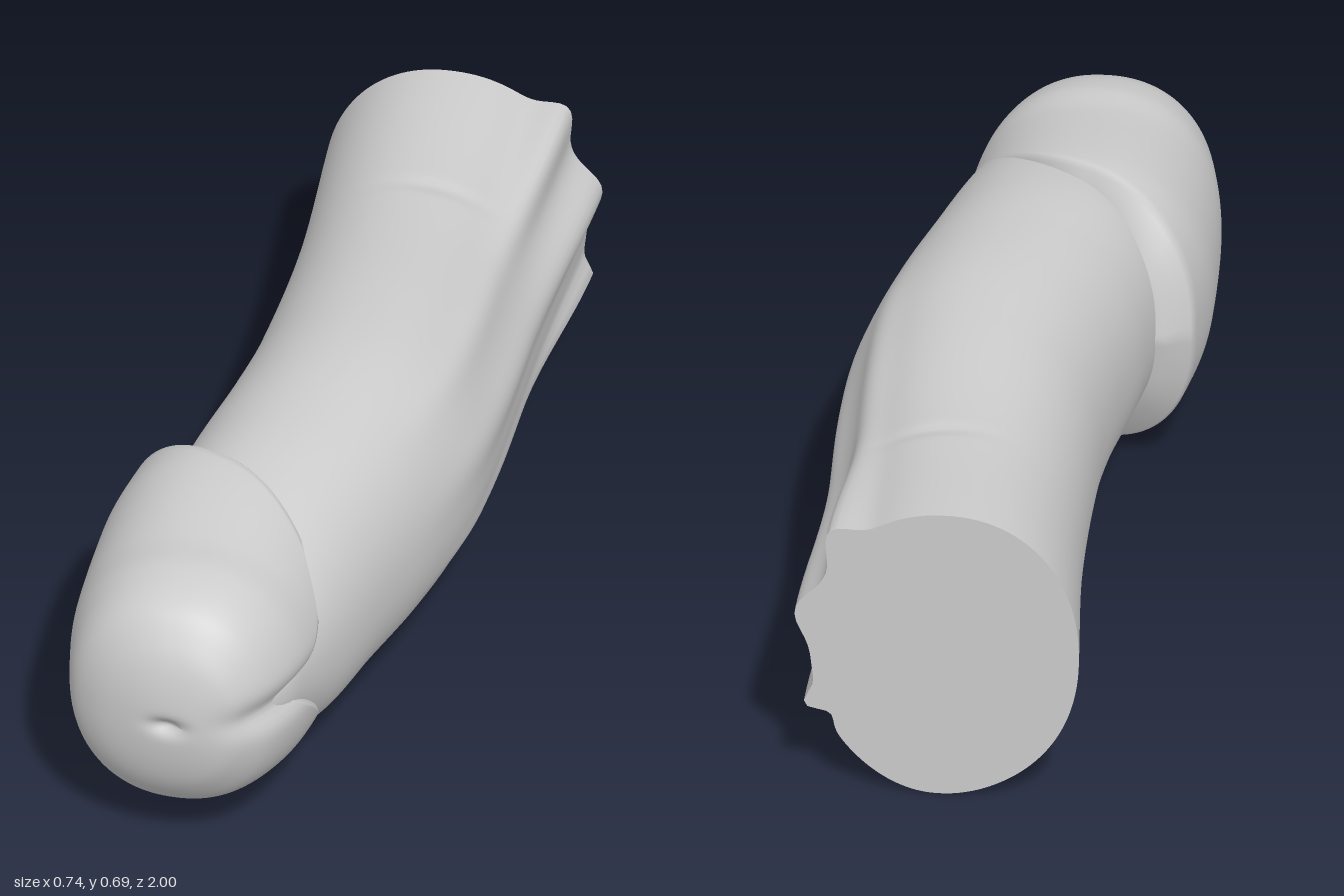
import * as THREE from 'three';

// Cross-section keys: [z, left x, right x, bottom y, top y], front to back
const SHAFT = [
  [0.93, -0.10, 0.03, 0.33, 0.44],
  [0.85, -0.18, 0.115, 0.27, 0.50],
  [0.75, -0.22, 0.152, 0.19, 0.56],
  [0.60, -0.25, 0.197, 0.10, 0.62],
  [0.40, -0.285, 0.245, 0.07, 0.665],
  [0.20, -0.26, 0.295, 0.057, 0.685],
  [0.00, -0.225, 0.33, 0.052, 0.695],
  [-0.20, -0.205, 0.335, 0.045, 0.69],
  [-0.60, -0.205, 0.325, 0.04, 0.67],
  [-1.00, -0.235, 0.33, 0.02, 0.69],
];
const HEAD = [
  [1.00, -0.07, -0.07, 0.37, 0.37],
  [0.98, -0.20, 0.03, 0.24, 0.50],
  [0.95, -0.27, 0.07, 0.18, 0.56],
  [0.90, -0.325, 0.11, 0.125, 0.615],
  [0.80, -0.355, 0.15, 0.085, 0.65],
  [0.70, -0.37, 0.167, 0.06, 0.655],
  [0.50, -0.375, 0.175, 0.025, 0.68],
  [0.43, -0.37, 0.165, 0.025, 0.683],
  [0.30, -0.35, 0.15, 0.04, 0.675],
];
// Depth of the head's rim by angle away from +x, in degrees
const RIM = [[0, 0.84], [12, 0.74], [27, 0.65], [50, 0.57], [90, 0.44], [135, 0.35], [180, 0.31]];
// Lengthwise ridges at the back of the shaft: [angle, width, height, strength mid-length]
const RIDGES = [
  [49, 8, 0.055, 0.25], [15, 11, 0.04, 0.45], [-26, 5, 0.035, 0.25],
  [-35, 5, -0.012, 0.6], [-85, 22, 0.015, 0.0],
];

const gauss = (d, w) => Math.exp(-((d / w) ** 2));
const smooth = THREE.MathUtils.smoothstep;

// Smooth interpolation of rows whose first entry is an ascending key
function sample(rows, k) {
  let i = 0;
  while (i < rows.length - 2 && k > rows[i + 1][0]) i++;
  const a = rows[i], b = rows[i + 1];
  const p = rows[Math.max(i - 1, 0)], n = rows[Math.min(i + 2, rows.length - 1)];
  const h = b[0] - a[0], t = THREE.MathUtils.clamp((k - a[0]) / h, 0, 1);
  return a.slice(1).map((v, c) => {
    const w = b[c + 1];
    const m0 = ((w - p[c + 1]) / (b[0] - p[0])) * h;
    const m1 = ((n[c + 1] - v) / (n[0] - a[0])) * h;
    return v * (2 * t ** 3 - 3 * t * t + 1) + m0 * (t ** 3 - 2 * t * t + t)
      + w * (3 * t * t - 2 * t ** 3) + m1 * (t ** 3 - t * t);
  });
}

// Point on a rounded section, with its centre
function section([xl, xr, yb, yt], angle, power) {
  const c = Math.cos(angle), s = Math.sin(angle), e = 2 / power;
  const cx = (xl + xr) / 2, cy = (yb + yt) / 2;
  return {
    cx, cy,
    x: cx + Math.sign(c) * Math.abs(c) ** e * (xr - xl) / 2,
    y: cy + Math.sign(s) * Math.abs(s) ** e * (yt - yb) / 2,
  };
}

// Closed loft; rings run from front to back
function loft(name, rings, sides, point) {
  const pos = [], index = [];
  for (let i = 0; i <= rings; i++) {
    for (let j = 0; j < sides; j++) {
      pos.push(...point(i, (j / sides) * Math.PI * 2));
      if (i === rings) continue;
      const a = i * sides + j, b = i * sides + (j + 1) % sides;
      index.push(a, a + sides, b, b, a + sides, b + sides);
    }
  }
  const g = new THREE.BufferGeometry();
  g.setAttribute('position', new THREE.Float32BufferAttribute(pos, 3));
  g.setIndex(index);
  g.computeVertexNormals();
  const mesh = new THREE.Mesh(g, new THREE.MeshStandardMaterial({ color: 0xcccccc, roughness: 0.7 }));
  mesh.name = name;
  return mesh;
}

const shaftKeys = SHAFT.map(([z, ...r]) => [-z, ...r]);
function shaftPoint(z, angle) {
  const p = section(sample(shaftKeys, -z), angle, 2.15);
  const dx = p.x - p.cx, dy = p.y - p.cy, r = Math.hypot(dx, dy);
  const deg = THREE.MathUtils.radToDeg(Math.atan2(dy, dx));
  let lift = 0;
  for (const [at, width, height, mid] of RIDGES) {
    const strength = mid * (1 - smooth(z, -0.35, 0.3)) + (1 - mid) * (1 - smooth(z, -1, -0.45));
    lift += height * strength * gauss(deg - at, width);
  }
  // Small crease across the top
  lift -= 0.006 * gauss(z + 0.62, 0.018) * gauss(deg - 82, 18);
  const k = 1 + lift / r;
  return [p.cx + dx * k, p.cy + dy * k, z];
}

// Keyed by root of distance from the tip, so the dome closes roundly
const headKeys = HEAD.map(([z, ...r]) => [Math.sqrt(1 - z), ...r]);
const LIP = [[0.97, 0.012], [0.88, 0.02], [0.76, 0.04], [0.6, 0.04]];
const DOME = 70;
function headPoint(i, angle) {
  const deg = THREE.MathUtils.radToDeg(angle);
  const rim = sample(RIM, Math.min(deg, 360 - deg))[0];
  const w = (Math.min(i, DOME) / DOME) * Math.sqrt(1 - rim);
  const p = section(sample(headKeys, w), angle, 2.2);
  let z = 1 - w * w, k = 1;
  // Shallow groove on the +x side, and the small slit at the tip
  const side = smooth(p.x, -0.05, 0.11);
  const groove = side * gauss(p.y - 0.385, 0.035);
  k -= 0.1 * groove;
  z -= 0.012 * groove;
  z -= 0.02 * gauss(p.x + 0.1, 0.035) * gauss(p.y - 0.372, 0.018);
  // Lip tucking back under the rim
  if (i > DOME) {
    const [scale, back] = LIP[i - DOME - 1];
    k *= scale;
    z -= back;
  }
  return [p.cx + (p.x - p.cx) * k, p.cy + (p.y - p.cy) * k, z];
}

export function createModel() {
  const model = new THREE.Group();
  model.name = 'anatomicalModel';
  const rings = 140, sides = 144;
  model.add(loft('shaft', rings, sides, (i, a) => shaftPoint(0.93 - 1.93 * (i / rings), a)));
  model.add(loft('glans', DOME + LIP.length, sides, headPoint));
  // Flat cut at the back
  model.add(loft('backCap', 1, sides, (i, a) => (i ? [0.05, 0.355, -1] : shaftPoint(-1, a))));
  return model;
}
